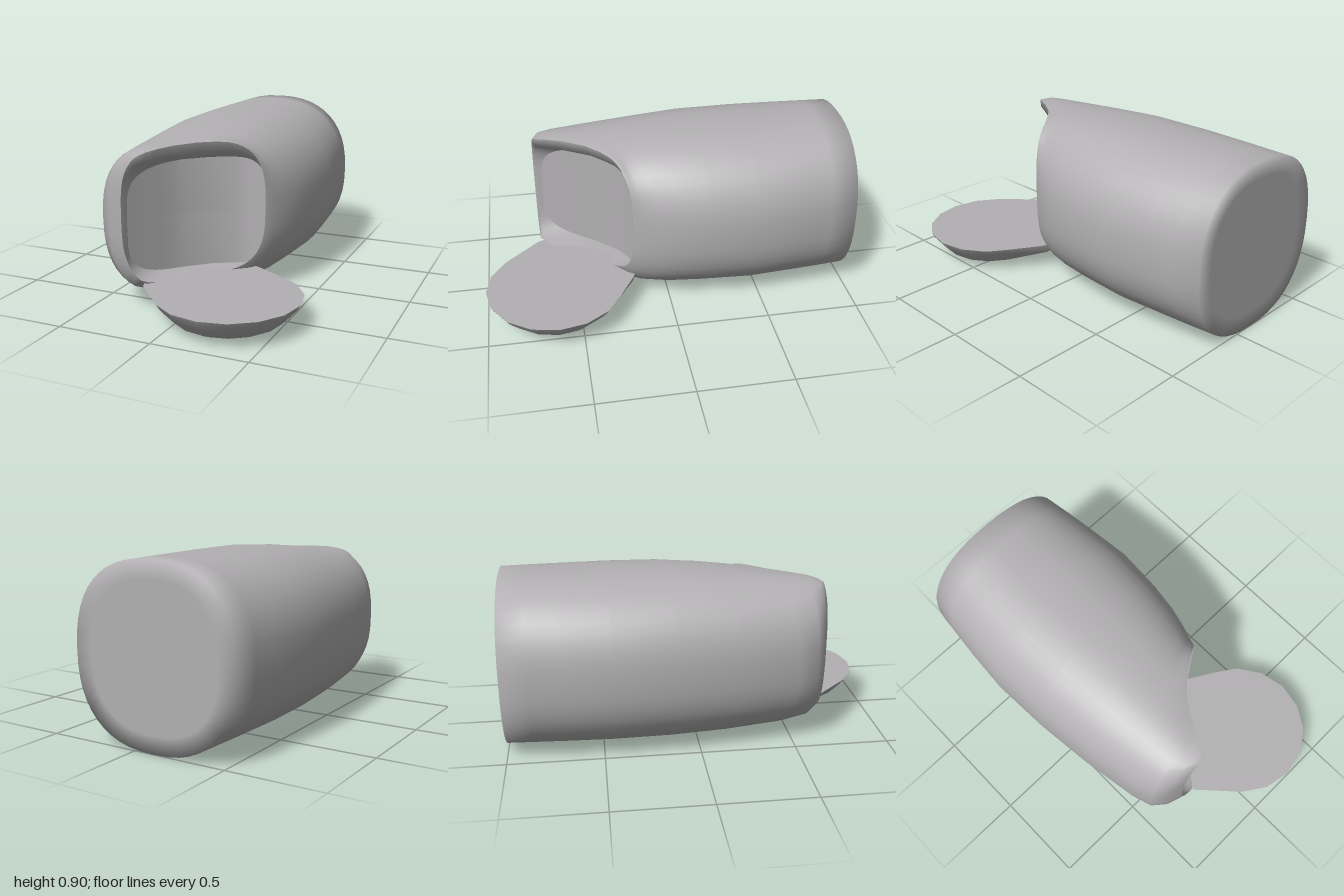
import * as THREE from 'three';
import { toCreasedNormals } from 'three/addons/utils/BufferGeometryUtils.js';
import { ConvexGeometry } from 'three/addons/geometries/ConvexGeometry.js';

const SEG = 48;

// piecewise-linear lookup in [[t, value], ...]
function lookup(points, t) {
  for (let i = 1; i < points.length; i++) {
    const [t0, v0] = points[i - 1], [t1, v1] = points[i];
    if (t <= t1) return v0 + (v1 - v0) * (t - t0) / (t1 - t0);
  }
  return points[points.length - 1][1];
}

// how the opening's edge sweeps back from its left end (0) to its right end (1)
const SWEEP = [[0, 0], [0.2, 0.01], [0.3, 0.18], [0.42, 0.46], [0.55, 0.64], [0.75, 0.83], [1, 1]];
// curved rear wall of the hollow, concentric with the tray
const WALL = [[0, 0], [0.08, 0.18], [0.2, 0.43], [0.3, 0.6], [0.4, 0.74], [0.6, 0.91], [0.8, 0.99], [1, 1]];

// closed rounded loop; z runs from zl to zr across its width
function ring({ xl, xr, y0, y1, zl, zr = zl, n = 2.4, bend = 0, profile = SWEEP, flat = false }) {
  const pts = [];
  for (let j = 0; j < SEG; j++) {
    const a = j / SEG * Math.PI * 2, c = Math.cos(a), s = Math.sin(a);
    const px = Math.sign(c) * Math.abs(c) ** (2 / n), py = Math.sign(s) * Math.abs(s) ** (2 / n);
    const t = (px + 1) / 2;
    const f = t + (lookup(profile, t) - t) * bend;
    pts.push([xl + (xr - xl) * t, (y0 + y1) / 2 + (flat ? 0 : py * (y1 - y0) / 2), zl + (zr - zl) * f]);
  }
  return pts;
}

// skin over successive loops
function loft(rings) {
  const index = [];
  for (let i = 0; i < rings.length - 1; i++) {
    for (let j = 0; j < SEG; j++) {
      const k = (j + 1) % SEG, a = i * SEG, b = a + SEG;
      index.push(a + j, a + k, b + j, a + k, b + k, b + j);
    }
  }
  const geo = new THREE.BufferGeometry();
  geo.setAttribute('position', new THREE.Float32BufferAttribute(rings.flat(2), 3));
  geo.setIndex(index);
  geo.computeVertexNormals();
  return geo;
}

export function createModel() {
  const group = new THREE.Group();
  const grey = new THREE.MeshStandardMaterial({ name: 'warmGrey', color: 0xb2b0b2 });
  const add = (name, geo) => {
    const mesh = new THREE.Mesh(geo, grey);
    mesh.name = name;
    group.add(mesh);
  };

  // barrel body with a flat, soft-edged back, turning toward the slanted opening at the front
  const rim = ring({ xl: -0.32, xr: 0.26, y0: 0.14, y1: 0.845, zl: 0.69, zr: 0.2, n: 3.1, bend: 1 });
  add('body', loft([
    ring({ xl: -0.11, xr: -0.11, y0: 0.4525, y1: 0.4525, zl: -1 }),
    ring({ xl: -0.47, xr: 0.25, y0: 0.09, y1: 0.815, zl: -1 }),
    ring({ xl: -0.56, xr: 0.34, y0: 0, y1: 0.905, zl: -1 }),
    ring({ xl: -0.575, xr: 0.36, y0: 0, y1: 0.905, zl: -0.86 }),
    ring({ xl: -0.592, xr: 0.38, y0: 0, y1: 0.905, zl: -0.7 }),
    ring({ xl: -0.61, xr: 0.405, y0: 0, y1: 0.905, zl: -0.45 }),
    ring({ xl: -0.595, xr: 0.385, y0: 0, y1: 0.905, zl: -0.12, zr: -0.2 }),
    ring({ xl: -0.56, xr: 0.36, y0: 0.005, y1: 0.89, zl: 0.2, zr: -0.04 }),
    ring({ xl: -0.51, xr: 0.325, y0: 0.025, y1: 0.87, zl: 0.5, zr: 0.07, n: 2.5, bend: 0.4 }),
    ring({ xl: -0.475, xr: 0.295, y0: 0.05, y1: 0.86, zl: 0.61, zr: 0.14, n: 2.6, bend: 0.75 }),
    ring({ xl: -0.41, xr: 0.275, y0: 0.09, y1: 0.857, zl: 0.66, zr: 0.18, n: 2.9, bend: 0.95 }),
    rim,
  ]));

  // shallow hollow behind the opening
  const wall = { xl: -0.31, xr: 0.25, y0: 0.152, y1: 0.74, zl: 0.65, zr: 0.16, n: 4.5, bend: 1, profile: WALL };
  add('hollow', loft([
    rim,
    ring({ xl: -0.315, xr: 0.255, y0: 0.148, y1: 0.79, zl: 0.675, zr: 0.18, n: 3.8, bend: 1 }),
    ring(wall),
  ]));
  add('hollowWall', loft([ring(wall), ring({ ...wall, flat: true })]));

  // round tray in front of the opening, with a neck running back under the body
  const points = [
    [-0.2, 0.15, 0.7], [-0.16, 0.1, 0.66], [0.23, 0.15, 0.2], [0.2, 0.1, 0.2],
    [-0.04, 0.02, 0.5], [0.1, 0.015, 0.36], [-0.28, 0.15, 0.5], [0.03, 0.15, 0.12],
  ].map((p) => new THREE.Vector3(...p));
  const profile = [[0.18, 0.01], [0.23, 0.018], [0.28, 0.042], [0.325, 0.09], [0.355, 0.125], [0.37, 0.15]];
  for (const [r, y] of profile) {
    for (let i = 0; i < 16; i++) {
      const a = i / 16 * Math.PI * 2;
      points.push(new THREE.Vector3(0.24 + r * Math.cos(a), y, 0.63 + r * Math.sin(a)));
    }
  }
  add('tray', toCreasedNormals(new ConvexGeometry(points), 0.7));

  return group;
}
